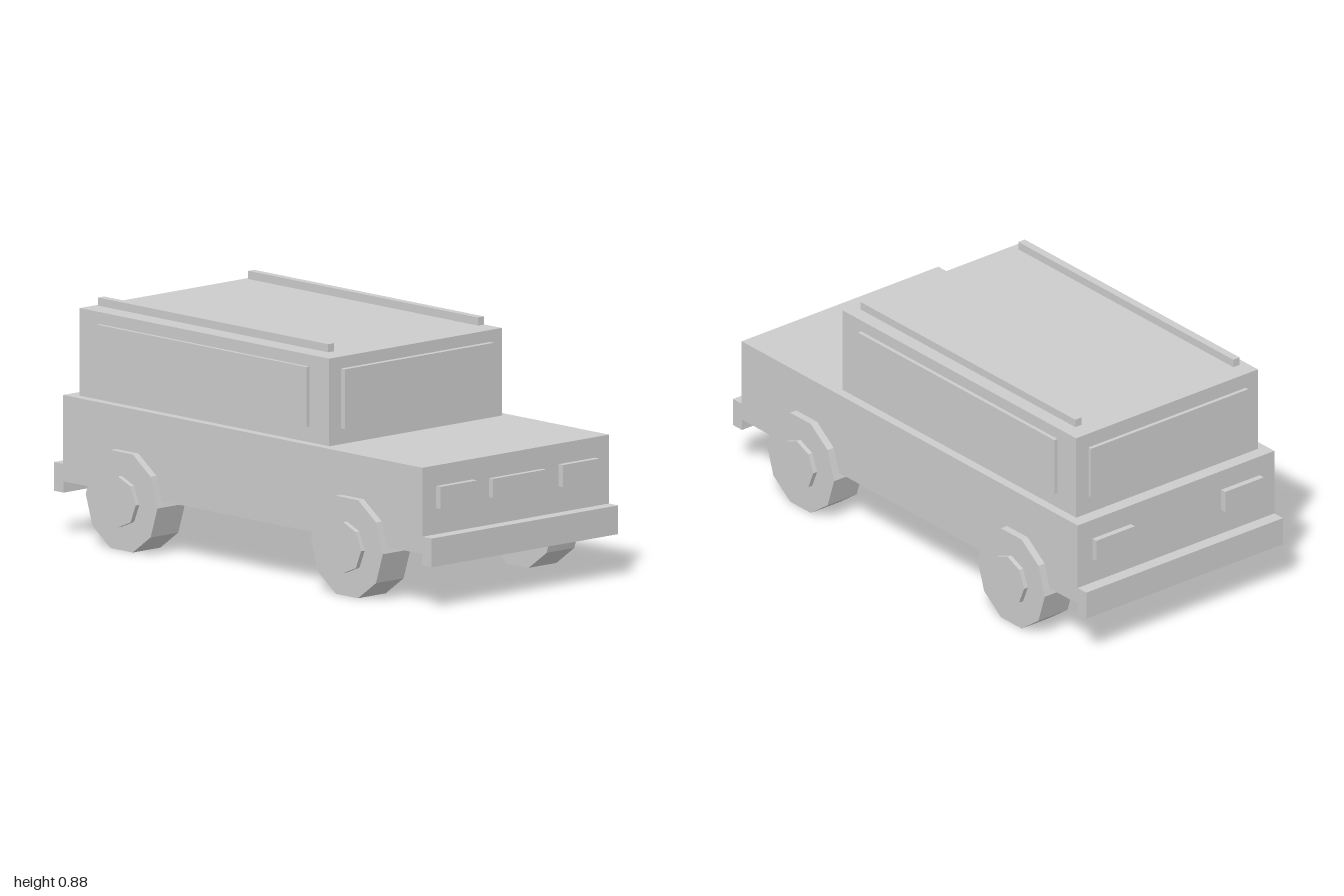
import * as THREE from 'three';

const paint = new THREE.MeshStandardMaterial({ color: 0xcccccc });
paint.name = 'light grey';

export function createModel() {
  const car = new THREE.Group();
  car.name = 'car';

  // Box given by its extents along each axis
  function box(name, [x0, x1], [y0, y1], [z0, z1]) {
    const mesh = new THREE.Mesh(new THREE.BoxGeometry(x1 - x0, y1 - y0, z1 - z0), paint);
    mesh.position.set((x0 + x1) / 2, (y0 + y1) / 2, (z0 + z1) / 2);
    mesh.name = name;
    car.add(mesh);
  }

  // Faceted disc on the x axis, with a corner pointing along z
  function disc(name, radius, sides, x0, x1) {
    const geometry = new THREE.CylinderGeometry(radius, radius, x1 - x0, sides).toNonIndexed();
    geometry.rotateZ(Math.PI / 2);
    geometry.computeVertexNormals();
    const mesh = new THREE.Mesh(geometry, paint);
    mesh.position.x = (x0 + x1) / 2;
    mesh.name = name;
    return mesh;
  }

  // Body, cabin and bumpers
  box('body', [-0.463, 0.463], [0.203, 0.521], [-0.951, 0.951]);
  box('cabin', [-0.428, 0.428], [0.521, 0.844], [-0.9, 0.421]);
  box('frontBumper', [-0.463, 0.463], [0.161, 0.267], [0.949, 1]);
  box('rearBumper', [-0.463, 0.463], [0.161, 0.267], [-1, -0.949]);

  // Windscreen, rear window and grille
  box('windscreen', [-0.37, 0.37], [0.579, 0.8], [0.41, 0.442]);
  box('rearWindow', [-0.37, 0.37], [0.591, 0.788], [-0.915, -0.89]);
  box('grille', [-0.132, 0.132], [0.369, 0.439], [0.94, 0.971]);

  // Parts mirrored on both sides
  for (const [side, s] of [['left', 1], ['right', -1]]) {
    const span = (a, b) => (s > 0 ? [a, b] : [-b, -a]);
    box(side + 'SideWindow', span(0.41, 0.443), [0.579, 0.8], [-0.795, 0.316]);
    box(side + 'RoofRail', span(0.357, 0.387), [0.855, 0.885], [-0.846, 0.371]);
    box(side + 'Headlight', span(0.213, 0.394), [0.363, 0.445], [0.94, 0.974]);
    box(side + 'TailLight', span(0.213, 0.394), [0.363, 0.445], [-0.974, -0.94]);

    // Wheels with hubcaps
    for (const [end, z] of [['Front', 0.583], ['Rear', -0.61]]) {
      const wheel = new THREE.Group();
      wheel.name = side + end + 'Wheel';
      wheel.add(disc('tyre', 0.19, 10, ...span(0.355, 0.492)));
      wheel.add(disc('hubcap', 0.094, 8, ...span(0.48, 0.51)));
      wheel.position.set(0, 0.181, z);
      car.add(wheel);
    }
  }
  return car;
}
